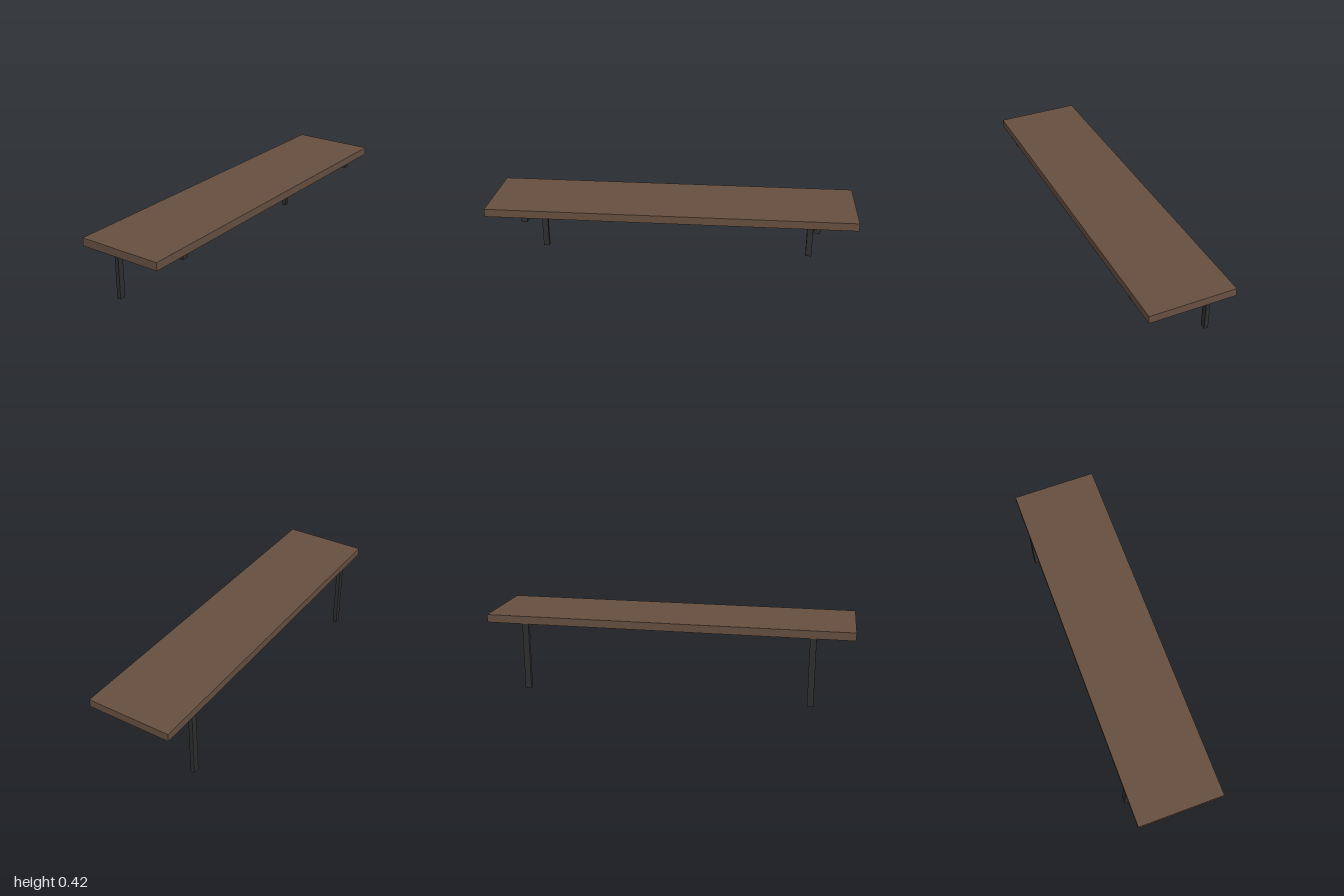
import * as THREE from 'three';

export function createModel() {
  const model = new THREE.Group();
  model.name = 'wallBench';

  const wood = new THREE.MeshStandardMaterial({ color: 0x664f40 });
  const metal = new THREE.MeshStandardMaterial({ color: 0x2e2e2e });

  // Seat plank
  const seatBottom = 0.375, seatTop = 0.418;
  const seat = new THREE.Mesh(new THREE.BoxGeometry(2, seatTop - seatBottom, 0.467), wood);
  seat.name = 'seat';
  seat.position.y = (seatBottom + seatTop) / 2;
  model.add(seat);

  // L-shaped frame: rear leg and the bar under the seat, drawn in z and y
  const width = 0.034, back = -0.227, legFront = -0.204, barFront = 0.223, barBottom = 0.349;
  const profile = new THREE.Shape([
    [back, 0], [legFront, 0], [legFront, barBottom],
    [barFront, barBottom], [barFront, seatBottom], [back, seatBottom],
  ].map(([z, y]) => new THREE.Vector2(z, y)));
  const frameGeometry = new THREE.ExtrudeGeometry(profile, { depth: width, bevelEnabled: false });
  frameGeometry.translate(0, 0, -width / 2);
  frameGeometry.rotateY(-Math.PI / 2);

  for (const [name, side] of [['leftLegFrame', 1], ['rightLegFrame', -1]]) {
    const frame = new THREE.Mesh(frameGeometry, metal);
    frame.name = name;
    frame.position.x = side * 0.783;
    model.add(frame);
  }

  return model;
}
